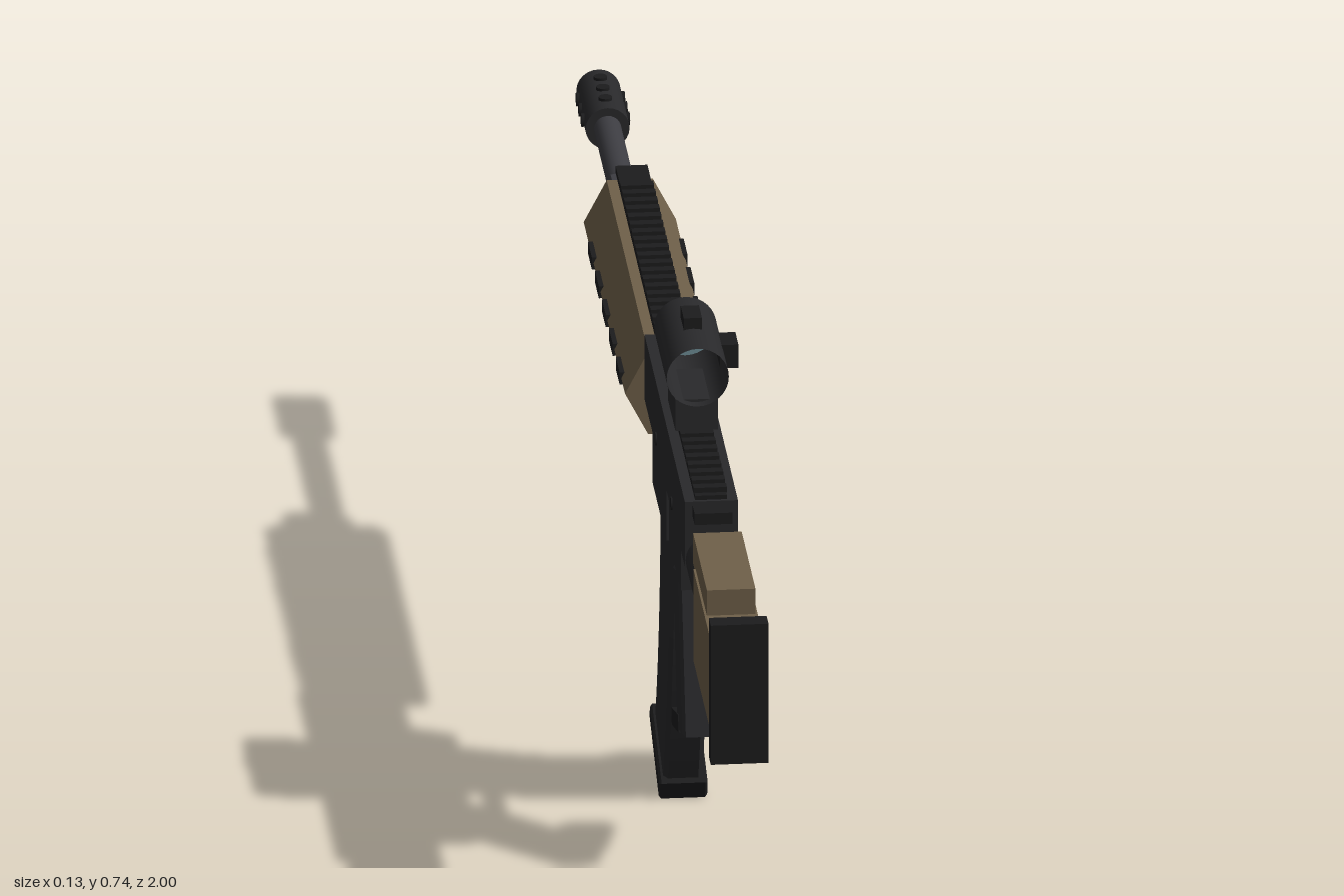
import * as THREE from 'three';

const mat = (color, extra = {}) => new THREE.MeshStandardMaterial({ color, ...extra });

export function createModel() {
  const root = new THREE.Group();
  const dark = mat(0x29292b), black = mat(0x1c1c1d), tan = mat(0x6f6049);
  const steel = mat(0x3d3d42), port = mat(0x4a4a4c);
  const AXIS = 0.509; // bore height

  function add(name, geo, material, parent = root) {
    const m = new THREE.Mesh(geo, material);
    m.name = name;
    parent.add(m);
    return m;
  }
  // box given by its limits on each axis
  function box(name, material, x0, x1, y0, y1, z0, z1, parent) {
    const g = new THREE.BoxGeometry(x1 - x0, y1 - y0, z1 - z0);
    g.translate((x0 + x1) / 2, (y0 + y1) / 2, (z0 + z1) / 2);
    return add(name, g, material, parent);
  }
  // box centred on x
  const slab = (name, material, w, y0, y1, z0, z1, parent) =>
    box(name, material, -w / 2, w / 2, y0, y1, z0, z1, parent);
  // cylinder lying along z
  function rod(name, material, r, y, z0, z1, sides = 24, open = false, parent = root) {
    const g = new THREE.CylinderGeometry(r, r, z1 - z0, sides, 1, open);
    g.rotateX(Math.PI / 2).translate(0, y, (z0 + z1) / 2);
    return add(name, g, material, parent);
  }
  // side profile in (z, y), extruded across x
  function plate(name, material, shape, w, bevel = 0) {
    const g = new THREE.ExtrudeGeometry(shape, {
      depth: w - 2 * bevel, bevelEnabled: bevel > 0, bevelThickness: bevel,
      bevelSize: bevel, bevelOffset: -bevel, bevelSegments: 1, curveSegments: 10,
    });
    g.translate(0, 0, bevel - w / 2).rotateY(-Math.PI / 2);
    return add(name, g, material);
  }
  const poly = pts => new THREE.Shape(pts.map(p => new THREE.Vector2(...p)));

  // Stock
  slab('buttPad', black, 0.076, 0.385, 0.583, 0.973, 1.0);
  slab('stockBody', tan, 0.07, 0.417, 0.547, 0.72, 0.975);
  slab('cheekRest', tan, 0.064, 0.54, 0.583, 0.685, 0.88);
  plate('stockToe', tan, poly([[0.875, 0.42], [0.88, 0.405], [0.96, 0.396], [0.96, 0.42]]), 0.04);
  rod('bufferTube', dark, 0.034, AXIS, 0.59, 0.73);
  slab('stockLatch', dark, 0.03, 0.433, 0.457, 0.648, 0.73);

  // Receiver
  slab('upperReceiver', dark, 0.07, 0.5, 0.592, 0.03, 0.6);
  slab('lowerReceiver', dark, 0.06, 0.42, 0.502, 0.122, 0.49);
  slab('magazineWell', dark, 0.066, 0.42, 0.5, 0.122, 0.32);
  box('ejectionPort', port, 0.03, 0.037, 0.535, 0.566, 0.208, 0.34);
  slab('chargingHandle', black, 0.05, 0.572, 0.588, 0.59, 0.632);
  for (const z of [0.2, 0.42]) {
    const pin = new THREE.CylinderGeometry(0.009, 0.009, 0.074, 12);
    add('receiverPin', pin.rotateZ(Math.PI / 2).translate(0, 0.515, z), black);
  }

  // Top rail with evenly spaced teeth
  const rail = new THREE.Group();
  rail.name = 'topRail';
  root.add(rail);
  slab('railBase', black, 0.042, 0.588, 0.598, -0.53, 0.595, rail);
  for (let i = 0; i < 40; i++) {
    const z = 0.578 - i * 0.0264;
    slab('railTooth', black, 0.044, 0.597, 0.605, z - 0.007, z + 0.007, rail);
  }

  // Six-sided handguard with slots along its side ridges
  const guard = new THREE.CylinderGeometry(0.0675, 0.0675, 0.585, 6);
  guard.rotateY(Math.PI / 2).rotateX(Math.PI / 2).scale(0.9, 1, 1).translate(0, AXIS, -0.2625);
  add('handguard', guard, mat(0x6f6049, { flatShading: true }));
  for (const s of [-1, 1]) {
    for (let i = 0; i < 5; i++) {
      const z = -0.05 - i * 0.098;
      box('handguardSlot', black, s * 0.058 - 0.005, s * 0.058 + 0.005, 0.5, 0.517, z - 0.027, z + 0.027);
    }
  }

  // Barrel, gas block and muzzle brake
  rod('barrel', steel, 0.018, AXIS, -0.88, -0.5);
  slab('gasBlock', steel, 0.044, 0.497, 0.56, -0.592, -0.55);
  rod('muzzleBrake', dark, 0.029, AXIS, -1.0, -0.868);
  for (const z of [-0.9, -0.935, -0.97]) {
    for (const turn of [0, Math.PI / 2]) {
      const vent = new THREE.CylinderGeometry(0.009, 0.009, 0.064, 12);
      add('muzzleVent', vent.rotateZ(turn).translate(0, AXIS, z), black);
    }
  }
  rod('bore', black, 0.011, AXIS, -1.0, -0.99, 16);

  // Curved magazine
  const mag = new THREE.Shape();
  mag.moveTo(0.308, 0.44);
  mag.quadraticCurveTo(0.285, 0.21, 0.196, 0.022);
  mag.lineTo(0.078, 0.073);
  mag.quadraticCurveTo(0.15, 0.22, 0.158, 0.44);
  plate('magazine', dark, mag, 0.052, 0.006);
  plate('magazineBase', black,
    poly([[0.209, 0.027], [0.072, 0.084], [0.064, 0.064], [0.199, 0.002]]), 0.064, 0.003);

  // Grip, trigger and guard
  plate('grip', dark, poly([[0.432, 0.425], [0.352, 0.4], [0.416, 0.19], [0.497, 0.213]]), 0.056, 0.004);
  plate('gripFoot', black, poly([[0.44, 0.222], [0.345, 0.193], [0.351, 0.171], [0.446, 0.199]]), 0.058);
  plate('trigger', black, poly([[0.318, 0.425], [0.295, 0.425], [0.285, 0.345], [0.297, 0.345]]), 0.016);
  slab('triggerGuard', black, 0.024, 0.334, 0.341, 0.27, 0.385);

  // Sight: open tube, lens at the muzzle end, turrets and mount
  const sight = new THREE.Group();
  sight.name = 'sight';
  root.add(sight);
  const SY = 0.687;
  rod('sightTube', mat(0x29292b, { side: THREE.DoubleSide }), 0.041, SY, 0.23, 0.407, 32, true, sight);
  const rim = new THREE.RingGeometry(0.036, 0.041, 32);
  add('sightRim', rim.rotateY(Math.PI).translate(0, SY, 0.23), black, sight);
  const lens = new THREE.CircleGeometry(0.04, 32).translate(0, SY, 0.235);
  add('lens', lens, mat(0x6f8f97, { side: THREE.DoubleSide }), sight);
  rod('reticleDot', black, 0.002, SY, 0.233, 0.237, 10, false, sight);
  slab('topTurret', black, 0.024, 0.722, 0.743, 0.295, 0.338, sight);
  box('sideTurret', black, 0.036, 0.06, 0.67, 0.703, 0.295, 0.338, sight);
  slab('sightMount', dark, 0.056, 0.606, 0.65, 0.288, 0.392, sight);
  slab('mountFoot', black, 0.044, 0.596, 0.608, 0.295, 0.385, sight);

  return root;
}
